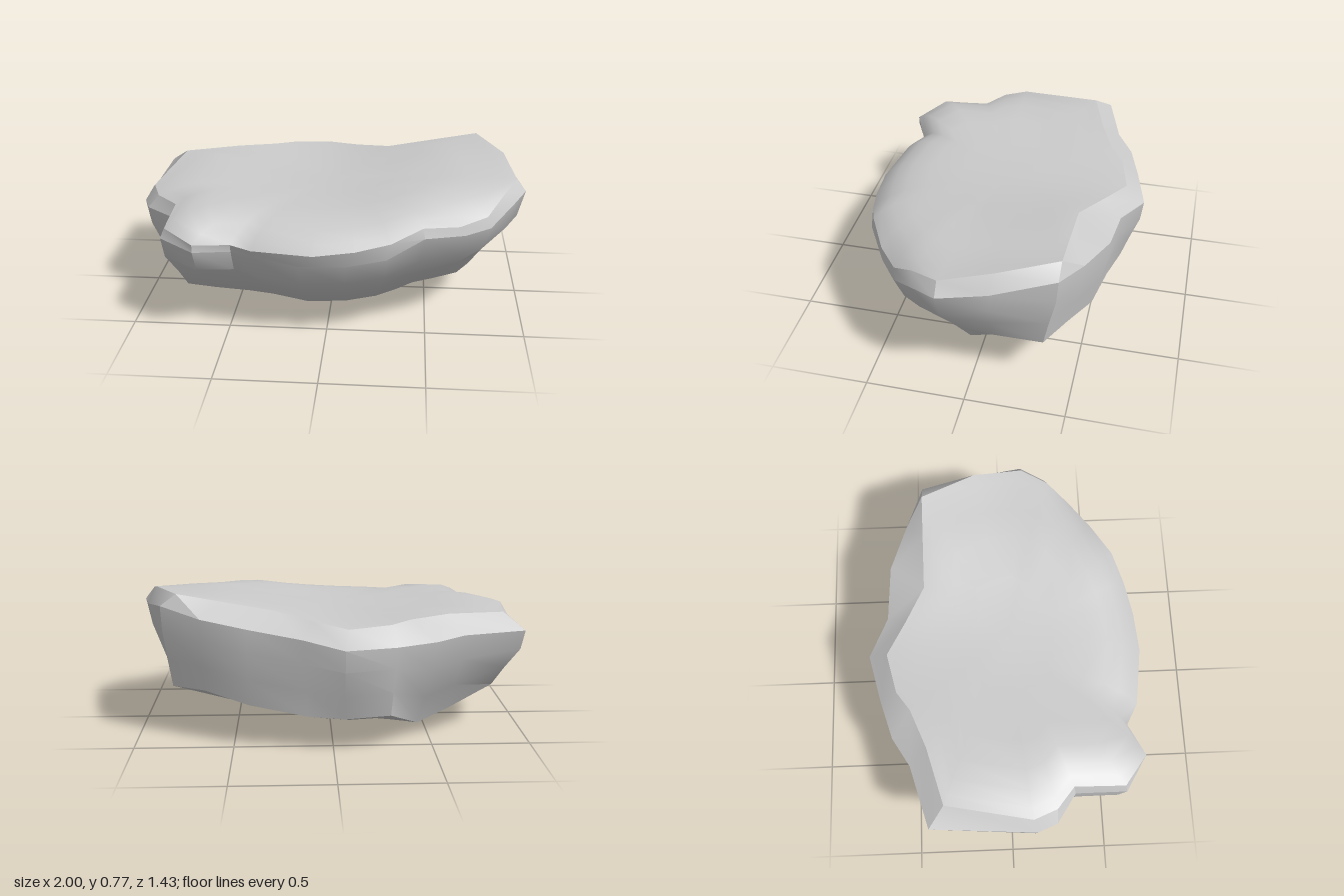
import * as THREE from 'three';
import { toCreasedNormals } from 'three/addons/utils/BufferGeometryUtils.js';

// Cross-section loops [x, z, y], all starting at the back right corner
const RIM = [
  [-0.97, -0.42, 0.57], [-0.65, -0.51, 0.57], [-0.5, -0.6, 0.56], [-0.3, -0.66, 0.55], [-0.05, -0.72, 0.55],
  [0.15, -0.62, 0.58], [0.42, -0.6, 0.63], [0.65, -0.51, 0.66], [0.85, -0.42, 0.71], [0.95, -0.12, 0.66],
  [1, 0.12, 0.64], [0.93, 0.25, 0.62], [0.81, 0.38, 0.54], [0.68, 0.48, 0.54], [0.48, 0.6, 0.57],
  [0.3, 0.64, 0.47], [0.1, 0.67, 0.44], [-0.12, 0.68, 0.44], [-0.35, 0.65, 0.47], [-0.46, 0.6, 0.47],
  [-0.63, 0.69, 0.5], [-0.81, 0.58, 0.52], [-0.81, 0.32, 0.52], [-0.96, 0.22, 0.53], [-1, 0.12, 0.53],
];
const TOP_EDGE = [
  [-0.87, -0.34, 0.65], [-0.58, -0.42, 0.66], [-0.38, -0.5, 0.65], [-0.28, -0.57, 0.64], [-0.07, -0.62, 0.63],
  [0.1, -0.52, 0.65], [0.28, -0.42, 0.68], [0.55, -0.42, 0.73], [0.77, -0.42, 0.77], [0.9, -0.14, 0.755],
  [0.95, 0.12, 0.705], [0.88, 0.26, 0.68], [0.79, 0.38, 0.6], [0.65, 0.49, 0.59], [0.47, 0.59, 0.62],
  [0.32, 0.65, 0.56], [0.15, 0.69, 0.53], [-0.05, 0.71, 0.51], [-0.35, 0.67, 0.51], [-0.46, 0.61, 0.51],
  [-0.63, 0.69, 0.54], [-0.79, 0.57, 0.57], [-0.79, 0.31, 0.59], [-0.9, 0.22, 0.6], [-0.95, 0.1, 0.61],
];
const FOOT = [
  [-0.85, -0.22, 0.23], [-0.6, -0.34, 0.14], [-0.44, -0.36, 0.07], [-0.28, -0.6, 0.19], [-0.05, -0.62, 0.18],
  [0.13, -0.57, 0.18], [0.42, -0.53, 0.23], [0.64, -0.44, 0.28], [0.81, -0.35, 0.28], [0.83, -0.1, 0.3],
  [0.73, 0.03, 0.17], [0.67, 0.08, 0.14], [0.54, 0.12, 0.12], [0.43, 0.16, 0.11], [0.35, 0.22, 0.1],
  [0.24, 0.27, 0.08], [0.08, 0.3, 0.06], [-0.12, 0.3, 0.05], [-0.31, 0.25, 0.06], [-0.43, 0.26, 0.08],
  [-0.6, 0.33, 0.13], [-0.75, 0.32, 0.14], [-0.76, 0.26, 0.15], [-0.87, 0.18, 0.22], [-0.91, 0.06, 0.23],
];

// Loop that collapses to one point, closing a surface
const tip = (x, z, y) => RIM.map(() => [x, z, y]);

// Inner loop of the upper surface: a trough along z whose margin turns to the edge height
function dishLoop(scale) {
  return TOP_EDGE.map(([x, z, y]) => {
    const px = x * scale;
    const base = Math.min(px < 0 ? 0.665 : 0.71, 0.635 + 0.15 * (px + 0.2) ** 2);
    return [px, z * scale, base + (y - base) * scale ** (y > base ? 3 : 7)];
  });
}

// Loop part of the way from the rim to the foot
function wallLoop(inward, downward) {
  return RIM.map(([x, z, y], i) => {
    const [fx, fz, fy] = FOOT[i];
    return [x + (fx - x) * inward, z + (fz - z) * inward, y + (fy - y) * downward];
  });
}

// Skin consecutive closed loops
function loft(loops, creaseAngle) {
  const n = RIM.length;
  const index = [];
  for (let r = 0; r < loops.length - 1; r++) {
    for (let j = 0; j < n; j++) {
      const k = (j + 1) % n;
      const a = r * n + j, b = r * n + k, c = a + n, d = b + n;
      index.push(a, b, c, b, d, c);
    }
  }
  const geometry = new THREE.BufferGeometry();
  const positions = loops.flat().flatMap(([x, z, y]) => [x, y, z]);
  geometry.setAttribute('position', new THREE.Float32BufferAttribute(positions, 3));
  geometry.setIndex(index);
  return toCreasedNormals(geometry, creaseAngle);
}

export function createModel() {
  const group = new THREE.Group();
  group.name = 'rockSlab';
  const material = new THREE.MeshStandardMaterial({ color: 0xcccccc });
  const add = (name, geometry) => {
    const mesh = new THREE.Mesh(geometry, material);
    mesh.name = name;
    group.add(mesh);
  };

  // Smooth dished upper surface
  add('topSurface', loft([tip(0, 0, 0.64), ...[0.35, 0.6, 0.75, 0.86, 0.94].map(dishLoop), TOP_EDGE], 1.5));

  // Chipped bevel around the upper edge
  add('edgeBevel', loft([TOP_EDGE, RIM], 0.5));

  // Steep walls, ledge and blocks at the foot, shallow keel
  const keel = FOOT.map(([x, z, y]) => [-0.15 + (x + 0.15) * 0.6, z * 0.55, y * 0.45]);
  const walls = [wallLoop(0.13, 0.3), wallLoop(0.6, 0.66)];
  add('lowerBody', loft([RIM, ...walls, FOOT, keel, tip(-0.22, 0.06, 0)], 0.7));

  return group;
}
